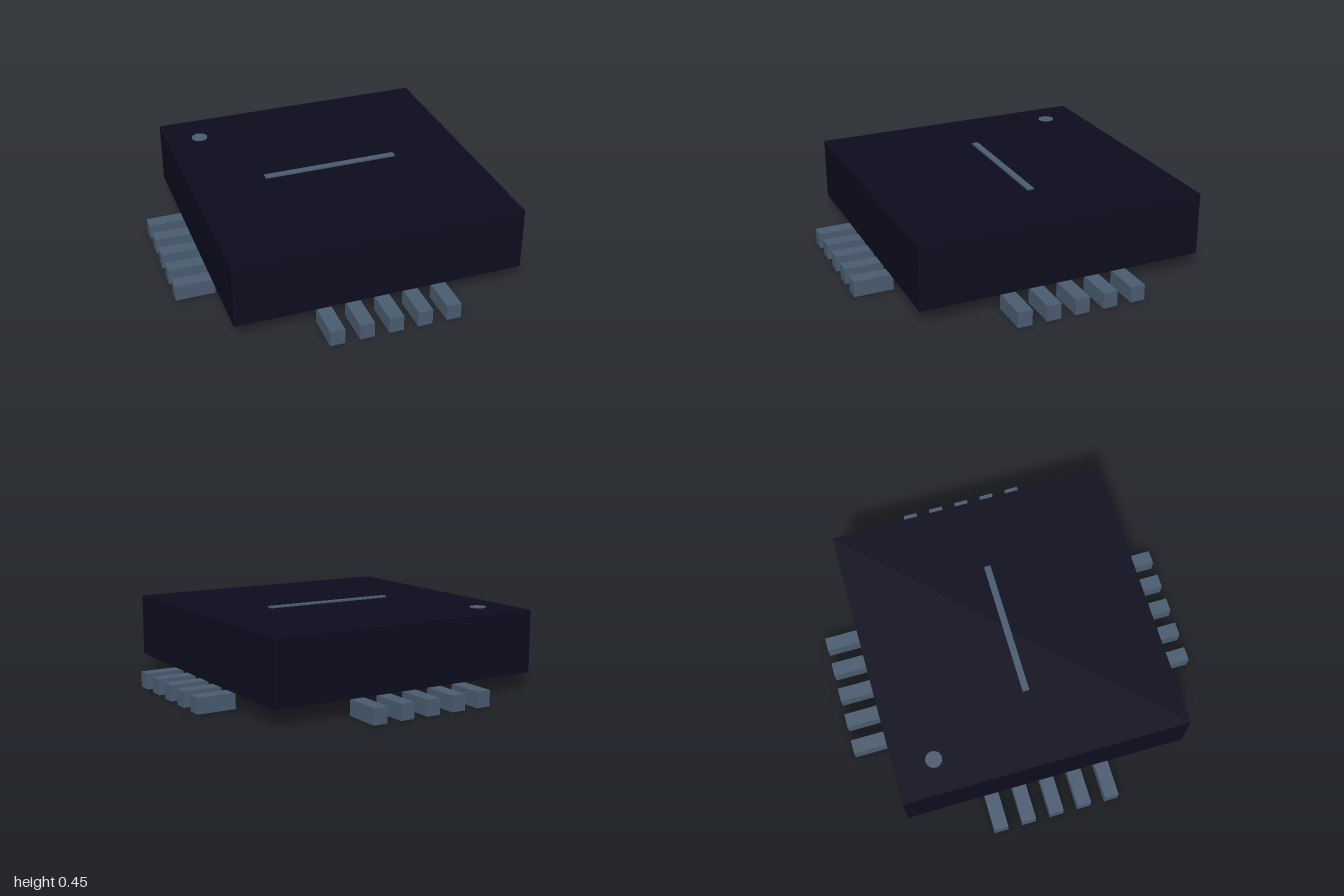
import * as THREE from 'three';

export function createModel() {
  const model = new THREE.Group();
  model.name = 'microchip';

  const casing = new THREE.MeshStandardMaterial({ color: 0x0c0c1e });
  casing.name = 'dark casing';
  const metal = new THREE.MeshStandardMaterial({ color: 0x4a5c70 });
  metal.name = 'slate metal';

  const add = (parent, name, geometry, material, x, y, z) => {
    const mesh = new THREE.Mesh(geometry, material);
    mesh.name = name;
    mesh.position.set(x, y, z);
    parent.add(mesh);
    return mesh;
  };

  // Square package
  add(model, 'body', new THREE.BoxGeometry(1.6, 0.35, 1.6), casing, 0, 0.265, 0);

  // Five pins on each of the four sides, tucked slightly under the body
  const pinGeometry = new THREE.BoxGeometry(0.08, 0.087, 0.217);
  for (let side = 0; side < 4; side++) {
    const row = new THREE.Group();
    row.name = 'pinRow';
    row.rotation.y = side * Math.PI / 2;
    for (let i = -2; i <= 2; i++) {
      add(row, 'pin', pinGeometry, metal, i * 0.16, 0.0435, 0.8915);
    }
    model.add(row);
  }

  // Raised marking bar and orientation dot on top
  add(model, 'markingBar', new THREE.BoxGeometry(0.766, 0.009, 0.037), metal, 0, 0.4445, 0);
  const dot = new THREE.CylinderGeometry(0.046, 0.046, 0.008, 16);
  add(model, 'orientationDot', dot, metal, -0.61, 0.44, -0.58);

  return model;
}
